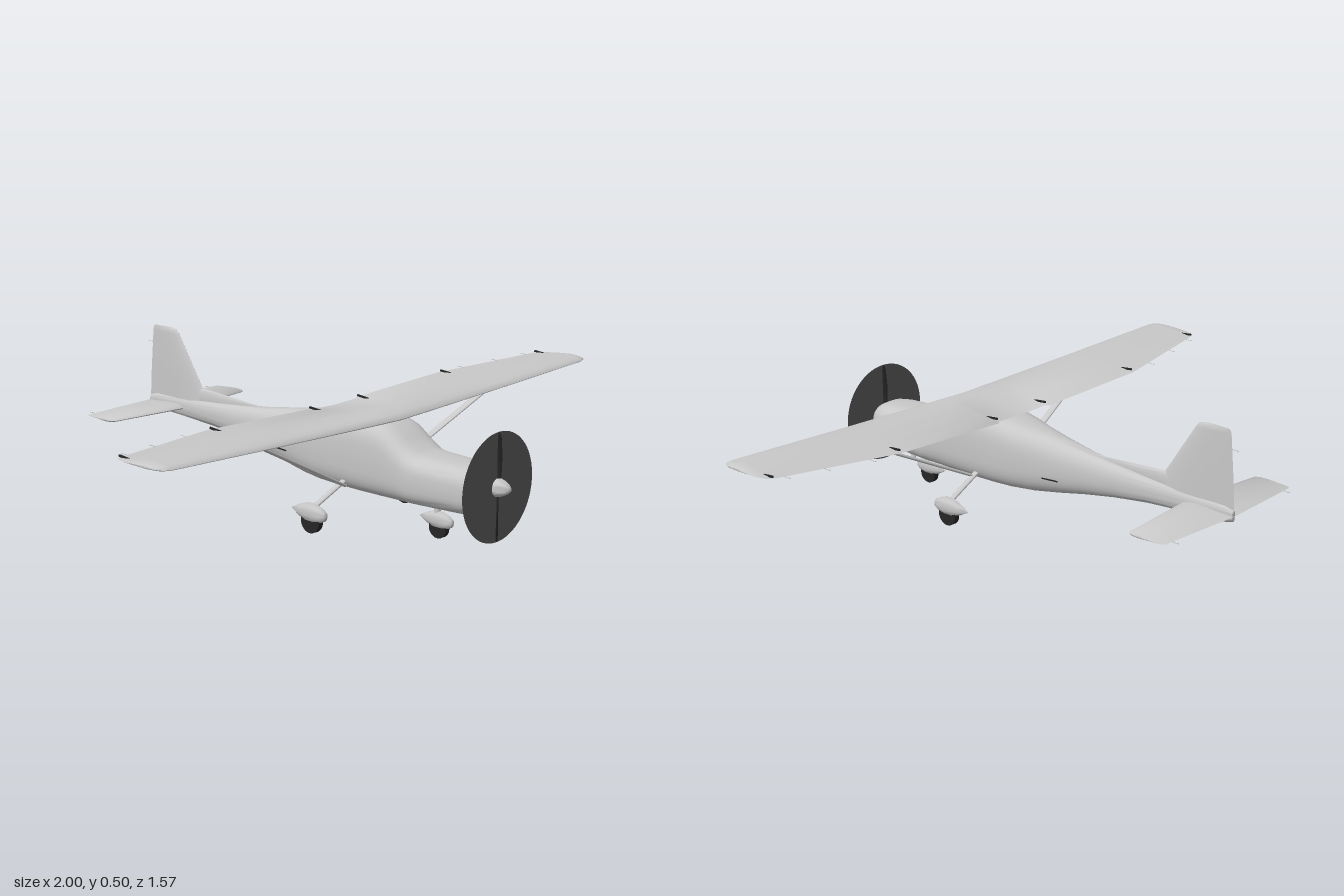
import * as THREE from 'three';
import { toCreasedNormals } from 'three/addons/utils/BufferGeometryUtils.js';

const V = (x, y, z) => new THREE.Vector3(x, y, z);

// Skin a closed surface over equal-length rings of points, capped at both ends
function loft(rings, crease = 0.7) {
  const n = rings[0].length, pts = rings.flat(), idx = [];
  for (let i = 0; i < rings.length - 1; i++) {
    for (let j = 0; j < n; j++) {
      const a = i * n + j, b = i * n + (j + 1) % n;
      idx.push(a, b, b + n, a, b + n, a + n);
    }
  }
  [0, rings.length - 1].forEach((r, end) => {
    const c = pts.length;
    pts.push(rings[r].reduce((s, p) => s.add(p), V(0, 0, 0)).divideScalar(n));
    for (let j = 0; j < n; j++) {
      const a = r * n + j, b = r * n + (j + 1) % n;
      if (end) idx.push(a, b, c); else idx.push(b, a, c);
    }
  });
  // turn the surface outward if its signed volume is negative
  let vol = 0;
  const cross = V(0, 0, 0);
  for (let i = 0; i < idx.length; i += 3) {
    vol += pts[idx[i]].dot(cross.crossVectors(pts[idx[i + 1]], pts[idx[i + 2]]));
  }
  if (vol < 0) idx.reverse();
  const geo = new THREE.BufferGeometry().setFromPoints(pts);
  geo.setIndex(idx);
  return toCreasedNormals(geo, crease);
}

// Rounded-box ring in a plane of constant z; larger e is squarer
function bodyRing(z, top, bottom, half, e, x0 = 0, n = 40) {
  return Array.from({ length: n }, (_, i) => {
    const t = i / n * Math.PI * 2, c = Math.cos(t), s = Math.sin(t);
    const f = (v) => Math.sign(v) * Math.abs(v) ** (2 / e);
    return V(x0 + half * f(c), (top + bottom) / 2 + (top - bottom) / 2 * f(s), z);
  });
}

// Airfoil outline as [chord fraction from the leading edge, height fraction]
const UPPER = [[0.015, 0.22], [0.06, 0.45], [0.15, 0.65], [0.3, 0.75], [0.5, 0.62], [0.75, 0.32]];
const foil = (lower) => [[0, 0], ...UPPER, [1, 0.02],
  ...UPPER.slice().reverse().map(([u, h]) => [u, -h * lower])];

// Lifting surface ring; up is 'y' for wings and 'x' for the fin
function foilRing(span, lead, trail, level, thick, lower, up = 'y') {
  return foil(lower).map(([u, h]) => {
    const z = lead + (trail - lead) * u;
    return up === 'y' ? V(span, level + h * thick, z) : V(level + h * thick, span, z);
  });
}

// Mirror half-span stations to get the full span
const fullSpan = (half) => [...half.slice().reverse().map(([x, ...r]) => [-x, ...r]),
  ...half.filter((s) => s[0] > 0)];

export function createModel() {
  const plane = new THREE.Group();
  plane.name = 'airplane';
  const mat = (name, color, extra = {}) => {
    const m = new THREE.MeshStandardMaterial({ color, ...extra });
    m.name = name;
    return m;
  };
  const paint = mat('light grey paint', 0xc8c8c8);
  const black = mat('black rubber', 0x262626);
  const blur = mat('dark grey disc', 0x595959, { side: THREE.DoubleSide });

  const add = (name, geo, material, parent = plane) => {
    const m = new THREE.Mesh(geo, material);
    m.name = name;
    parent.add(m);
    return m;
  };
  // Rod between two points, with its section stretched along the flow direction
  const rod = (name, a, b, r, chord = 1, material = paint) => {
    const m = add(name, new THREE.CylinderGeometry(r, r, a.distanceTo(b), 12), material);
    m.position.copy(a).add(b).multiplyScalar(0.5);
    const y = b.clone().sub(a).normalize();
    const x = V(0, 0, 1).cross(y);
    if (x.length() < 0.01) x.set(1, 0, 0);
    x.normalize();
    m.quaternion.setFromRotationMatrix(new THREE.Matrix4().makeBasis(x, y, x.clone().cross(y)));
    m.scale.z = chord;
    return m;
  };

  // Fuselage: z, top, bottom, half width, squareness
  const sections = [
    [0.732, 0.225, 0.145, 0.05, 2.4], [0.725, 0.242, 0.126, 0.07, 2.6],
    [0.705, 0.252, 0.115, 0.082, 2.8], [0.66, 0.258, 0.109, 0.091, 3],
    [0.58, 0.262, 0.107, 0.096, 3], [0.49, 0.265, 0.106, 0.1, 3.2],
    [0.465, 0.27, 0.105, 0.101, 3.2], [0.42, 0.301, 0.105, 0.102, 3.2],
    [0.375, 0.334, 0.105, 0.103, 3.4], [0.34, 0.346, 0.105, 0.103, 3.5],
    [0.25, 0.352, 0.105, 0.102, 3.5], [0.15, 0.346, 0.106, 0.1, 3.3],
    [0.08, 0.334, 0.108, 0.094, 3.1], [0, 0.322, 0.113, 0.078, 2.8],
    [-0.1, 0.308, 0.129, 0.06, 2.5], [-0.2, 0.294, 0.149, 0.046, 2.3],
    [-0.32, 0.281, 0.17, 0.034, 2.2], [-0.45, 0.272, 0.187, 0.025, 2.2],
    [-0.6, 0.264, 0.198, 0.017, 2.2], [-0.74, 0.257, 0.205, 0.011, 2.2],
    [-0.772, 0.248, 0.213, 0.006, 2.2],
  ];
  add('fuselage', loft(sections.map((s) => bodyRing(...s)), 0.9), paint);

  // Wing: x, leading z, trailing z, height, thickness
  const wing = [
    [0, 0.366, 0.085, 0.347, 0.034], [0.112, 0.366, 0.085, 0.35, 0.034],
    [0.115, 0.366, 0.073, 0.35, 0.034], [0.54, 0.366, 0.073, 0.364, 0.028],
    [0.96, 0.364, 0.158, 0.379, 0.02], [0.985, 0.357, 0.172, 0.381, 0.015],
    [0.997, 0.335, 0.2, 0.382, 0.008], [1, 0.31, 0.22, 0.383, 0.003],
  ];
  add('wing', loft(fullSpan(wing).map((s) => foilRing(...s, 0.5)), 0.9), paint);

  // Tailplane
  const tail = [
    [0, 0.59, 0.775, 0.23, 0.014], [0.3, 0.622, 0.757, 0.23, 0.01],
    [0.307, 0.63, 0.75, 0.23, 0.007], [0.311, 0.65, 0.735, 0.23, 0.003],
  ].map(([x, a, b, y, t]) => [x, -a, -b, y, t]);
  add('tailplane', loft(fullSpan(tail).map((s) => foilRing(...s, 1)), 0.9), paint);

  // Fin and the low fillet ahead of it: height, leading z, trailing z, centre, thickness
  const fin = [
    [0.235, -0.46, -0.774, 0, 0.016], [0.31, -0.512, -0.77, 0, 0.013],
    [0.48, -0.623, -0.754, 0, 0.009], [0.494, -0.636, -0.751, 0, 0.007],
    [0.499, -0.655, -0.742, 0, 0.003],
  ];
  add('fin', loft(fin.map((s) => foilRing(...s, 1, 'x')), 0.9), paint);
  const fillet = [
    [-0.24, 0.291, 0.27, 0.003, 2], [-0.38, 0.3, 0.25, 0.006, 2],
    [-0.51, 0.309, 0.24, 0.009, 2], [-0.6, 0.31, 0.24, 0.008, 2],
  ];
  add('finFillet', loft(fillet.map((s) => bodyRing(...s, 0, 16))), paint);

  // Propeller, its spinning disc and spinner
  const prop = new THREE.Group();
  prop.name = 'propeller';
  prop.position.set(0, 0.203, 0.742);
  plane.add(prop);
  add('propellerDisc', new THREE.CircleGeometry(0.17, 64), blur, prop);
  const blade = [[0.015, 0.008], [0.05, 0.011], [0.1, 0.012], [0.15, 0.009], [0.168, 0.003]];
  for (const side of [1, -1]) {
    const rings = blade.map(([r, w]) => Array.from({ length: 12 }, (_, i) => {
      const t = i / 6 * Math.PI, twist = 0.9 - r * 3;
      const a = w * Math.cos(t), b = 0.003 * Math.sin(t);
      return V(a * Math.cos(twist) - b * Math.sin(twist), r,
        a * Math.sin(twist) + b * Math.cos(twist));
    }));
    add('propellerBlade', loft(rings), black, prop).rotation.z = side > 0 ? 0 : Math.PI;
  }
  const spin = [[0, -0.012], [0.028, -0.012], [0.029, 0], [0.025, 0.017], [0.016, 0.035],
    [0.007, 0.046], [0, 0.049]].map(([r, z]) => new THREE.Vector2(r, z));
  add('spinner', toCreasedNormals(new THREE.LatheGeometry(spin, 32), 0.8), paint, prop)
    .rotation.x = Math.PI / 2;

  // Wheel with a teardrop fairing: distance behind the nose, top, bottom, half width
  const pant = [
    [0.062, 0.066, 0.058, 0.003], [0.056, 0.076, 0.047, 0.01], [0.04, 0.085, 0.039, 0.015],
    [0.012, 0.095, 0.034, 0.018], [-0.02, 0.094, 0.035, 0.017], [-0.05, 0.083, 0.045, 0.011],
    [-0.072, 0.073, 0.057, 0.005], [-0.084, 0.067, 0.063, 0.001],
  ];
  const wheel = (name, x, z, s) => {
    const g = new THREE.Group();
    g.name = name;
    g.position.set(x, 0, z);
    g.scale.setScalar(s);
    plane.add(g);
    add('wheelFairing', loft(pant.map(([d, t, b, w]) => bodyRing(d, t, b, w, 2.2, 0, 20)), 1), paint, g);
    const tire = add('tire', new THREE.CylinderGeometry(0.037, 0.037, 0.02, 28), black, g);
    tire.rotation.z = Math.PI / 2;
    tire.position.y = 0.037;
  };
  wheel('noseWheel', 0, 0.522, 0.9);
  rod('noseLeg', V(0, 0.06, 0.518), V(0, 0.13, 0.51), 0.01);

  for (const s of [1, -1]) {
    // Main gear and wing strut
    wheel('mainWheel', s * 0.225, 0.2, 1);
    rod('mainGearLeg', V(s * 0.07, 0.148, 0.21), V(s * 0.222, 0.078, 0.2), 0.006, 1.8);
    rod('wingStrut', V(s * 0.095, 0.128, 0.215), V(s * 0.56, 0.357, 0.29), 0.005, 2.6);

    // Dark gaps between flap, aileron and tip
    for (const [x, z, y] of [[0.113, 0.112, 0.358], [0.542, 0.107, 0.37], [0.968, 0.186, 0.383]]) {
      const gap = add('controlGap', new THREE.BoxGeometry(0.005, 0.006, 0.05), black);
      gap.position.set(s * x, y, z);
      gap.rotation.x = 0.1;
    }
    // Static wicks on the trailing edges
    for (const [x, z, y] of [[0.65, 0.095, 0.368], [0.8, 0.126, 0.373], [0.93, 0.152, 0.378], [0.27, -0.757, 0.23]]) {
      rod('staticWick', V(s * x, y, z + 0.01), V(s * x, y, z - 0.025), 0.0012);
    }
    // Small dark step on the rear fuselage side
    const step = add('sideStep', new THREE.BoxGeometry(0.008, 0.004, 0.06), black);
    step.position.set(s * 0.058, 0.184, -0.09);
    step.rotation.y = s * 0.17;
  }
  rod('finWick', V(0, 0.438, -0.75), V(0, 0.438, -0.782), 0.0012);
  rod('exhaust', V(0.04, 0.12, 0.57), V(0.04, 0.088, 0.555), 0.007);
  return plane;
}
